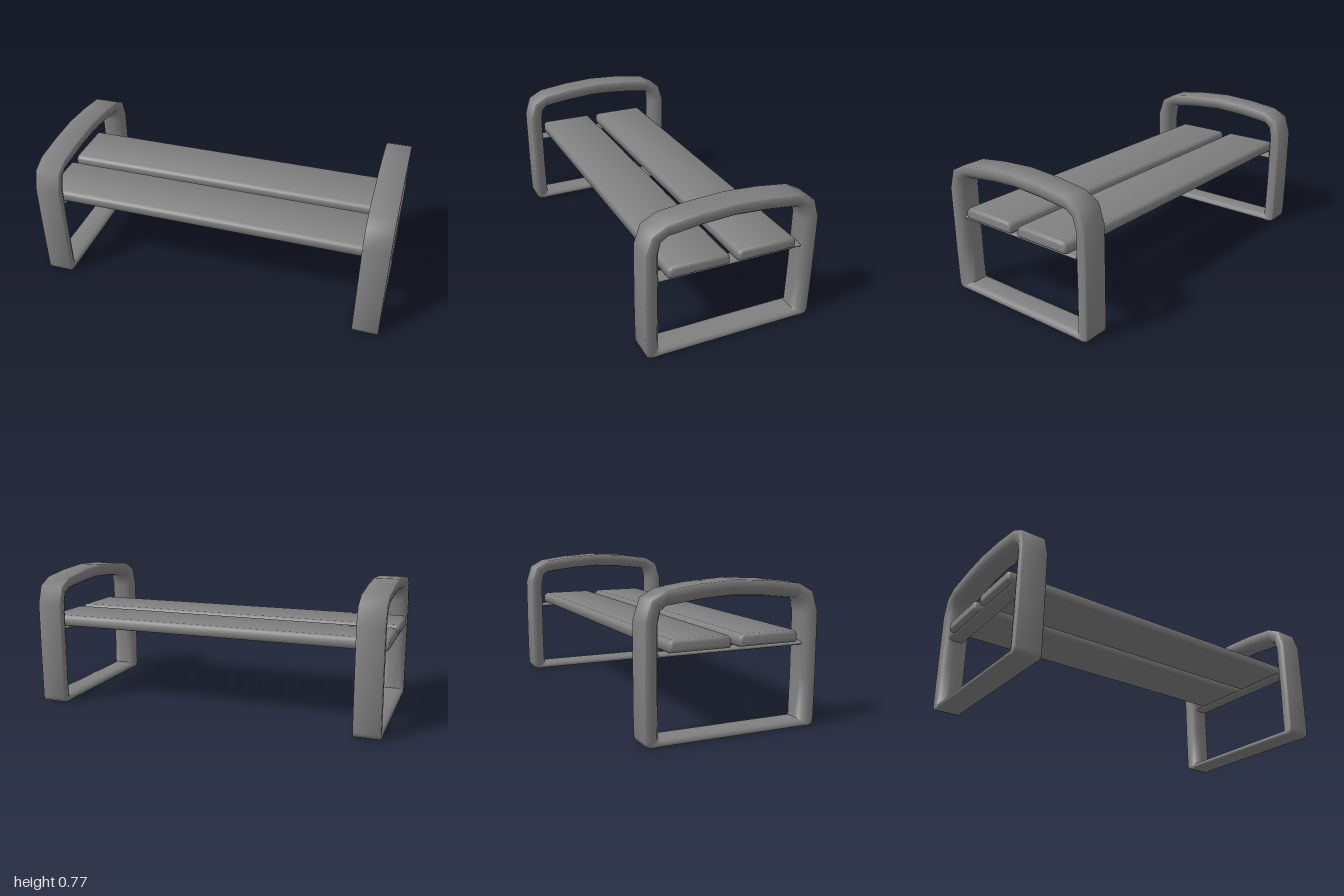
import * as THREE from 'three';
import { toCreasedNormals } from 'three/addons/utils/BufferGeometryUtils.js';

const material = new THREE.MeshStandardMaterial({ color: 0x808080 });

function addPart(group, geometry, name, x, y, z) {
  const mesh = new THREE.Mesh(geometry, material);
  mesh.name = name;
  mesh.position.set(x, y, z);
  group.add(mesh);
}

// Half of the end-frame loop: [outer z, outer y, inner z, inner y], top to bottom
const HALF_LOOP = [
  [0.19, 0.755, 0.17, 0.676],
  [0.36, 0.733, 0.355, 0.654],
  [0.44, 0.69, 0.38, 0.632],
  [0.473, 0.588, 0.392, 0.576],
  [0.473, 0.26, 0.392, 0.26],
  [0.47, 0.03, 0.388, 0.038],
  [0.463, 0.007, 0.388, 0.038],
  [0.44, 0, 0.388, 0.038],
  [0.385, 0.002, 0.385, 0.038],
];

// Bar section: [position from outer to inner face, fraction of half width]
const SECTION = [
  [0, -0.93], [0, 0.93], [0.07, 1], [0.45, 1], [0.75, 0.87], [0.93, 0.6], [1, 0.25],
  [1, -0.25], [0.93, -0.6], [0.75, -0.87], [0.45, -1], [0.07, -1],
];

// Closed loop lofted from the bar section
function endFrameGeometry(halfWidth) {
  const mirrored = HALF_LOOP.map(([a, b, c, d]) => [-a, b, -c, d]).reverse();
  const loop = [[0, 0.766, 0, 0.686], ...HALF_LOOP, ...mirrored];
  const positions = [], index = [];
  const n = loop.length, m = SECTION.length;
  loop.forEach(([oz, oy, iz, iy], i) => {
    SECTION.forEach(([t, s], j) => {
      positions.push(s * halfWidth, oy + (iy - oy) * t, oz + (iz - oz) * t);
      const a = i * m + j, b = i * m + (j + 1) % m;
      const c = ((i + 1) % n) * m + j, d = ((i + 1) % n) * m + (j + 1) % m;
      index.push(a, c, b, b, c, d);
    });
  });
  const geometry = new THREE.BufferGeometry();
  geometry.setAttribute('position', new THREE.Float32BufferAttribute(positions, 3));
  geometry.setIndex(index);
  return toCreasedNormals(geometry, 1.2);
}

// Board with softened top corners and domed ends
function plankGeometry() {
  const w = 0.165, h = 0.063;
  const shape = new THREE.Shape([
    [-w, 0.006], [-w + 0.01, 0], [w - 0.01, 0], [w, 0.006], [w, h - 0.02], [w - 0.006, h - 0.011],
    [w - 0.02, h], [-w + 0.02, h], [-w + 0.006, h - 0.011], [-w, h - 0.02],
  ].map(([x, y]) => new THREE.Vector2(x, y)));
  const geometry = new THREE.ExtrudeGeometry(shape, {
    depth: 1.96, bevelThickness: 0.02, bevelSize: 0.016, bevelOffset: -0.016, bevelSegments: 3,
  });
  geometry.translate(0, 0, -0.98).rotateY(Math.PI / 2);
  return toCreasedNormals(geometry, 1.2);
}

export function createModel() {
  const group = new THREE.Group();
  group.name = 'bench';

  // End frames and the flattened cross rails under the seat
  const frame = endFrameGeometry(0.073);
  const rail = new THREE.CylinderGeometry(0.013, 0.013, 0.79, 16).rotateX(Math.PI / 2).scale(3.4, 1, 1);
  for (const [side, name] of [[1, 'left'], [-1, 'right']]) {
    addPart(group, frame, name + 'EndFrame', side * 0.923, 0, 0);
    addPart(group, rail, name + 'SeatRail', side * 0.933, 0.428, 0);
  }

  // Two seat planks
  const plank = plankGeometry();
  addPart(group, plank, 'frontPlank', 0, 0.44, 0.19);
  addPart(group, plank, 'backPlank', 0, 0.44, -0.186);
  return group;
}
